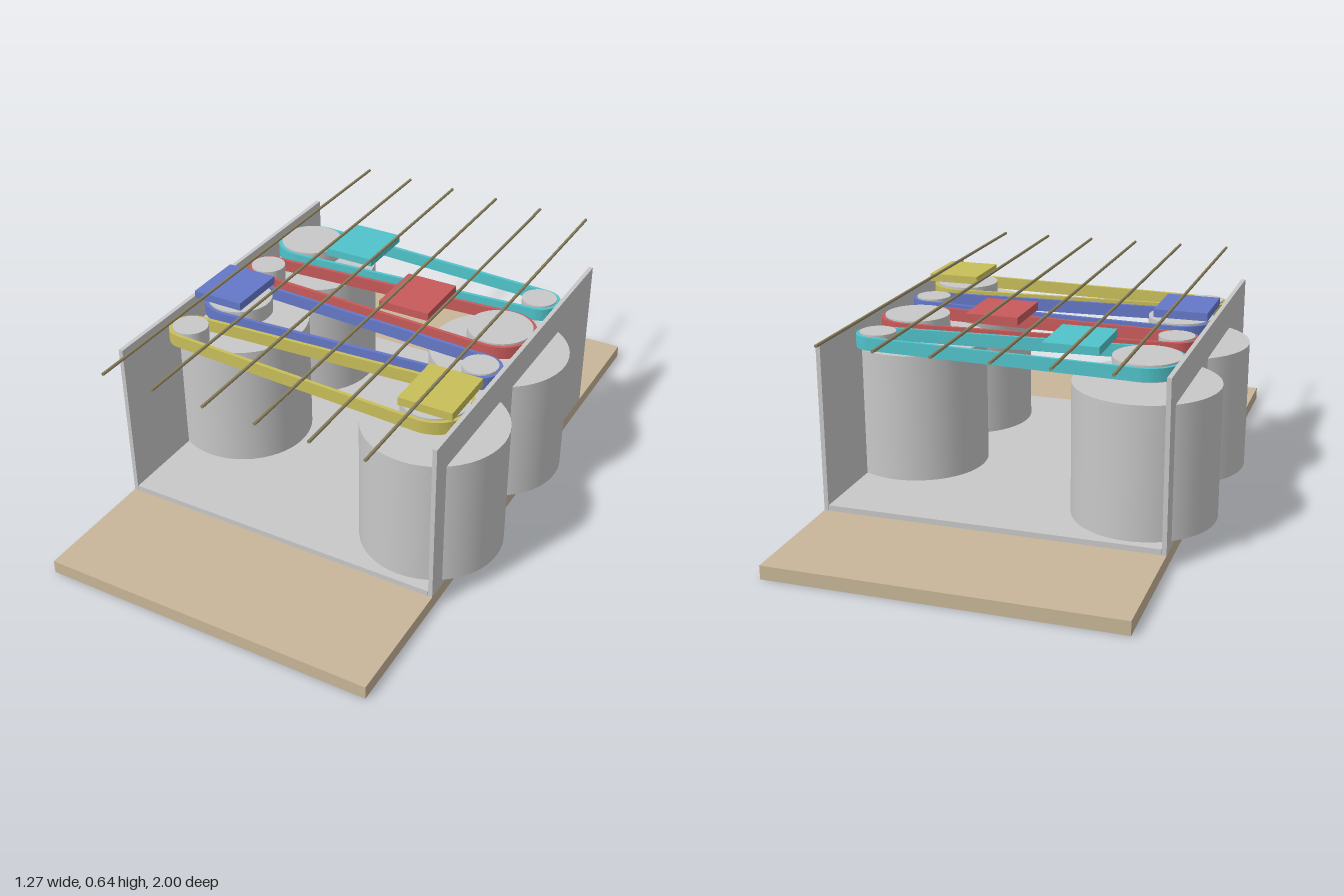
import * as THREE from 'three';
import { toCreasedNormals } from 'three/addons/utils/BufferGeometryUtils.js';

const material = (name, color) => {
  const m = new THREE.MeshStandardMaterial({ color });
  m.name = name;
  return m;
};

// Closed loop round a large and a small pulley lying on the x axis
function loop(path, xLarge, rLarge, xSmall, rSmall) {
  const a = Math.acos((rLarge - rSmall) / (xSmall - xLarge));
  path.absarc(xLarge, 0, rLarge, a, 2 * Math.PI - a, false);
  path.absarc(xSmall, 0, rSmall, -a, a, false);
  path.closePath();
  return path;
}

export function createModel() {
  const model = new THREE.Group();
  model.name = 'beltSlideMechanism';

  const wood = material('wood', 0xc8b699);
  const metal = material('metal', 0xc8c8c8);
  const string = material('string', 0x8c825f);
  const teal = material('teal', 0x50c3ca);
  const red = material('red', 0xc85a5a);
  const blue = material('blue', 0x6478c8);
  const yellow = material('yellow', 0xc8be5a);

  const add = (parent, name, geometry, mat, x, y, z) => {
    const mesh = new THREE.Mesh(geometry, mat);
    mesh.name = name;
    mesh.position.set(x, y, z);
    parent.add(mesh);
    return mesh;
  };

  // Base board and U-shaped frame
  add(model, 'baseBoard', new THREE.BoxGeometry(1.08, 0.043, 2), wood, 0, 0.0215, 0);
  add(model, 'frameFloor', new THREE.BoxGeometry(1.05, 0.018, 1.186), metal, 0, 0.052, 0);
  for (const s of [-1, 1]) {
    add(model, s > 0 ? 'leftWall' : 'rightWall',
      new THREE.BoxGeometry(0.014, 0.534, 1.186), metal, s * 0.533, 0.31, 0);
  }

  // Drive dimensions
  const motorX = -0.413, pulleyR = 0.105;
  const idlerX = 0.45, idlerR = 0.057, beltT = 0.012;
  const motorGeo = new THREE.CylinderGeometry(0.224, 0.224, 0.418, 48);
  const pulleyGeo = new THREE.CylinderGeometry(pulleyR, pulleyR, 0.052, 40);
  const idlerGeo = new THREE.CylinderGeometry(idlerR, idlerR, 0.052, 32);
  const sliderGeo = new THREE.BoxGeometry(0.174, 0.026, 0.206);

  // Belt as an extruded ring, laid flat
  const beltShape = loop(new THREE.Shape(), motorX, pulleyR + beltT, idlerX, idlerR + beltT);
  beltShape.holes.push(loop(new THREE.Path(), motorX, pulleyR, idlerX, idlerR));
  const beltGeo = toCreasedNormals(
    new THREE.ExtrudeGeometry(beltShape, { depth: 0.041, bevelEnabled: false, curveSegments: 24 })
      .rotateX(-Math.PI / 2), 0.6);

  // Four drives, alternating sides, each with its own slider
  const drives = [
    { name: 'teal', mat: teal, z: -0.346, flip: false, sliderX: -0.207 },
    { name: 'red', mat: red, z: -0.116, flip: true, sliderX: 0.121 },
    { name: 'blue', mat: blue, z: 0.114, flip: false, sliderX: -0.432 },
    { name: 'yellow', mat: yellow, z: 0.344, flip: true, sliderX: 0.428 },
  ];
  for (const d of drives) {
    const drive = new THREE.Group();
    drive.name = d.name + 'Drive';
    drive.position.z = d.z;
    if (d.flip) drive.rotation.y = Math.PI;
    add(drive, 'motor', motorGeo, metal, motorX, 0.271, 0);
    add(drive, 'drivePulley', pulleyGeo, metal, motorX, 0.534, 0);
    add(drive, 'idlerPulley', idlerGeo, metal, idlerX, 0.534, 0);
    add(drive, 'belt', beltGeo, d.mat, 0, 0.5135, 0);
    model.add(drive);
    add(model, d.name + 'Slider', sliderGeo, d.mat, d.sliderX, 0.589, d.z);
  }

  // Six strings running front to back
  const stringGeo = new THREE.CylinderGeometry(0.005, 0.005, 1.6, 12).rotateX(Math.PI / 2);
  for (let i = 0; i < 6; i++) {
    add(model, 'string' + (i + 1), stringGeo, string, (i - 2.5) * 0.172, 0.64, 0);
  }

  return model;
}
